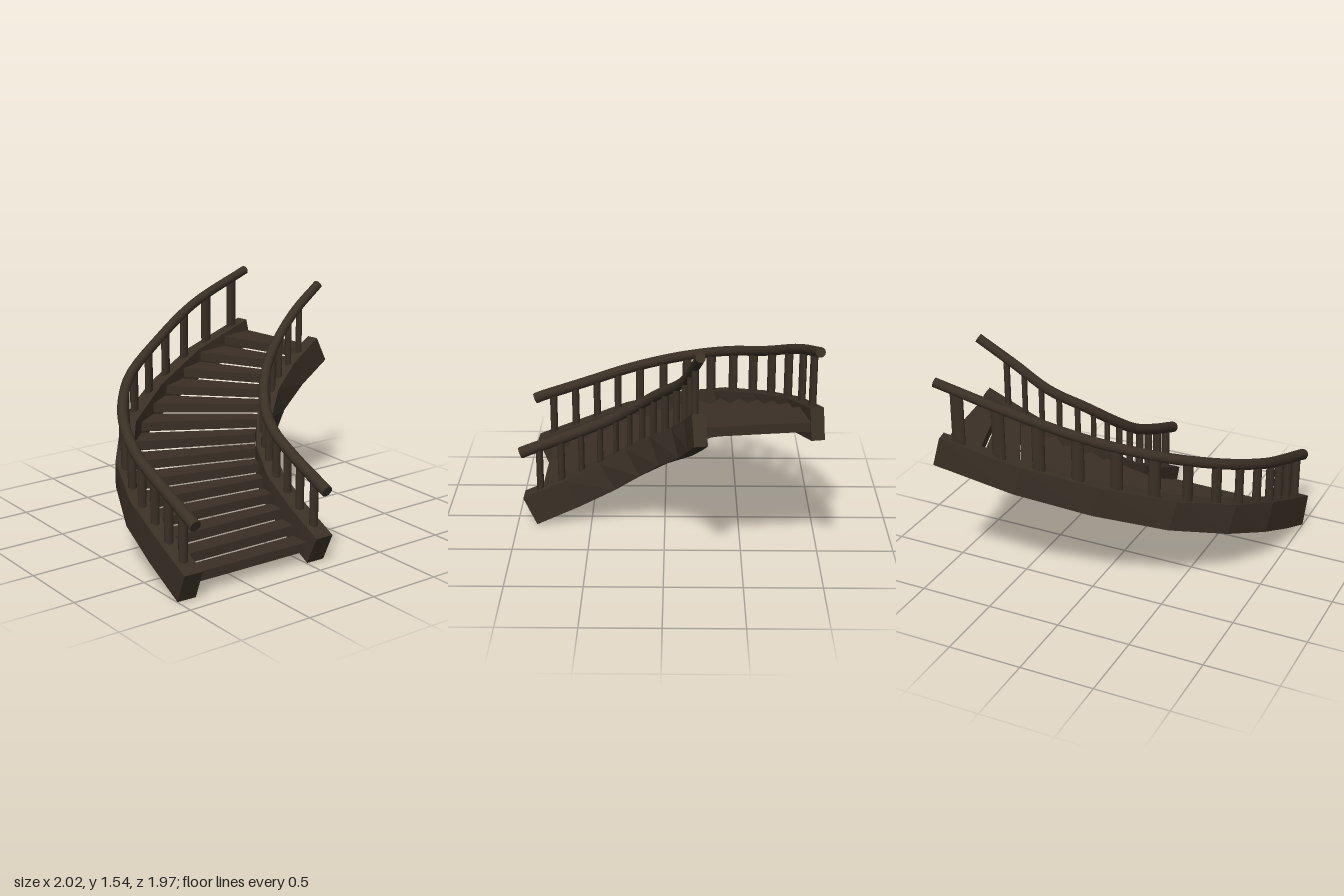
import * as THREE from 'three';
import { toCreasedNormals } from 'three/addons/utils/BufferGeometryUtils.js';

const UP = new THREE.Vector3(0, 1, 0);
const N = 7; // straight stringer segments per side
const RAIL_Y = [0.53, 0.645, 0.76, 0.89, 1.03, 1.175, 1.35, 1.51];
const lerp = THREE.MathUtils.lerp;

// Plan points (x, z) from the foot to the head of the stair
const SIDES = [
  { name: 'outer', balusters: 14, plan: [[-0.935, 0.905], [-0.92, 0.58], [-0.895, 0.27], [-0.77, -0.07],
    [-0.51, -0.4], [-0.11, -0.655], [0.34, -0.84], [0.855, -0.935]] },
  { name: 'inner', balusters: 13, plan: [[0.067, 0.91], [0.075, 0.62], [0.10, 0.37], [0.175, 0.185],
    [0.305, 0.03], [0.5, -0.11], [0.715, -0.18], [0.96, -0.22]] },
];
const TREAD_OUTER = [[-0.87, 0.84], [-0.865, 0.57], [-0.825, 0.25], [-0.69, -0.08],
  [-0.43, -0.38], [-0.07, -0.63], [0.35, -0.8], [0.86, -0.89]];
const TREAD_INNER = [[0.0, 0.855], [0.01, 0.585], [0.035, 0.36], [0.11, 0.18],
  [0.245, 0.01], [0.44, -0.135], [0.67, -0.21], [0.95, -0.26]];

const curveOf = (plan, yAt) =>
  new THREE.CatmullRomCurve3(plan.map(([x, z], i) => new THREE.Vector3(x, yAt(i), z)));

// Sweep a ring of (sideways, upward) offsets along points, upright and capped
function sweep(points, ringAt) {
  const pos = [], idx = [];
  const last = points.length - 1;
  let n = 0;
  points.forEach((p, i) => {
    const a = points[Math.max(i - 1, 0)], b = points[Math.min(i + 1, last)];
    const t = b.clone().sub(a).normalize();
    const side = t.clone().cross(UP).normalize();
    const up = side.clone().cross(t);
    const ring = ringAt(i / last);
    n = ring.length;
    for (const [s, u] of ring) {
      const v = p.clone().addScaledVector(side, s).addScaledVector(up, u);
      pos.push(v.x, v.y, v.z);
    }
  });
  for (let i = 0; i < last; i++) {
    for (let j = 0; j < n; j++) {
      const a = i * n + j, b = i * n + (j + 1) % n;
      idx.push(a, a + n, b, b, a + n, b + n);
    }
  }
  for (let j = 1; j < n - 1; j++) {
    idx.push(0, j, j + 1, last * n, last * n + j + 1, last * n + j);
  }
  const g = new THREE.BufferGeometry();
  g.setAttribute('position', new THREE.Float32BufferAttribute(pos, 3));
  g.setIndex(idx);
  g.computeVertexNormals();
  return g;
}

export function createModel() {
  const model = new THREE.Group();
  const wood = new THREE.MeshStandardMaterial({ color: 0x3a3026 });
  const flatWood = new THREE.MeshStandardMaterial({ color: 0x3a3026, flatShading: true });
  const add = (geometry, name, parent = model, material = wood) => {
    const mesh = new THREE.Mesh(geometry, material);
    mesh.name = name;
    parent.add(mesh);
    return mesh;
  };

  for (const { name, balusters, plan } of SIDES) {
    const side = new THREE.Group();
    side.name = name + 'Side';
    model.add(side);

    // Stringer: faceted board, narrowing towards the head
    const board = plan.map(([x, z], i) => new THREE.Vector3(x, 0.1 + 0.1355 * i, z));
    add(sweep(board, (f) => {
      const w = lerp(0.065, 0.042, f), h = lerp(0.106, 0.1, f);
      return [[-w, -h], [w, -h], [w, h], [-w, h]];
    }), name + 'Stringer', side, flatWood);

    // Handrail: round, running a little past the foot
    const rail = curveOf(plan, (i) => RAIL_Y[i]);
    const railPoints = rail.getPoints(32);
    railPoints.unshift(railPoints[0].clone().add(new THREE.Vector3(0, -0.025, 0.06)));
    add(toCreasedNormals(sweep(railPoints, (f) => {
      const r = lerp(0.039, 0.031, f);
      return Array.from({ length: 14 }, (_, k) => {
        const a = (k / 14) * Math.PI * 2;
        return [r * Math.cos(a), r * Math.sin(a)];
      });
    }), 0.9), name + 'Handrail', side);

    // Balusters: two per stringer segment, stretched along the run
    for (let k = 0; k < balusters; k++) {
      const u = 0.23 + 0.5 * k;
      const top = rail.getPoint(u / N);
      const i = Math.floor(u);
      const dx = plan[i + 1][0] - plan[i][0], dz = plan[i + 1][1] - plan[i][1];
      const bottom = 0.1 + 0.1355 * u + 0.04;
      const post = add(new THREE.CylinderGeometry(1, 1, top.y - bottom, 14), name + 'Baluster', side);
      post.position.set(top.x, (top.y + bottom) / 2, top.z);
      post.scale.set(lerp(0.031, 0.021, u / N), 1, 0.083 * Math.hypot(dx, dz));
      post.rotation.y = Math.atan2(dx, dz);
    }
  }

  // Treads: wedge slabs between the two stringers
  const steps = 14;
  const outer = curveOf(TREAD_OUTER, () => 0), inner = curveOf(TREAD_INNER, () => 0);
  const treads = new THREE.Group();
  treads.name = 'treads';
  model.add(treads);
  for (let i = 0; i < steps; i++) {
    const a = i / steps, b = (i + 0.985) / steps;
    const corners = [outer.getPoint(a), inner.getPoint(a), inner.getPoint(b), outer.getPoint(b)];
    const shape = new THREE.Shape(corners.map((p) => new THREE.Vector2(p.x, -p.z)));
    const slab = new THREE.ExtrudeGeometry(shape, { depth: 0.062, bevelEnabled: false });
    slab.rotateX(-Math.PI / 2);
    add(slab, 'tread', treads).position.y = 0.083 + 0.0705 * i;
  }
  return model;
}
